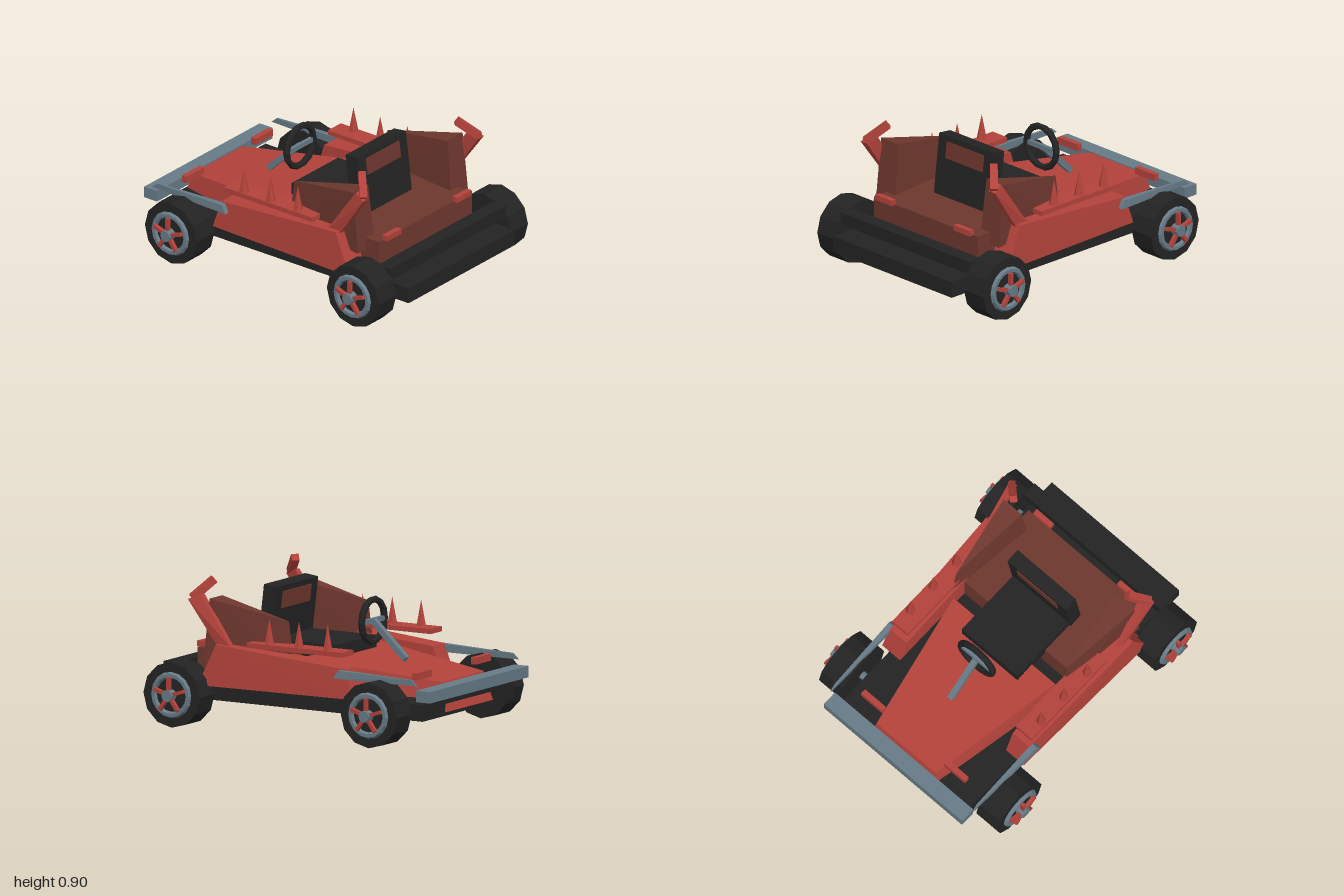
import * as THREE from 'three';
import { ConvexGeometry } from 'three/addons/geometries/ConvexGeometry.js';

const paint = (name, color) => {
  const m = new THREE.MeshStandardMaterial({ color, flatShading: true });
  m.name = name;
  return m;
};

export function createModel() {
  const red = paint('red', 0xb3423b);
  const brown = paint('rust brown', 0x6e372e);
  const grey = paint('steel grey', 0x667a86);
  const black = paint('black', 0x232323);

  const kart = new THREE.Group();
  kart.name = 'kart';

  const add = (name, geo, mat, parent = kart) => {
    const m = new THREE.Mesh(geo, mat);
    m.name = name;
    parent.add(m);
    return m;
  };
  // box given by its min and max on each axis
  const box = (name, mat, [x0, x1], [y0, y1], [z0, z1], parent) => {
    const m = add(name, new THREE.BoxGeometry(x1 - x0, y1 - y0, z1 - z0), mat, parent);
    m.position.set((x0 + x1) / 2, (y0 + y1) / 2, (z0 + z1) / 2);
    return m;
  };
  // faceted block around a few corners, s mirrors it in x
  const hull = (name, mat, pts, s = 1) =>
    add(name, new ConvexGeometry(pts.map(([x, y, z]) => new THREE.Vector3(s * x, y, z))), mat);
  // square bar between two points
  const bar = (name, mat, a, b, w, d) => {
    const p = new THREE.Vector3(...a), q = new THREE.Vector3(...b);
    const m = add(name, new THREE.BoxGeometry(w, d, p.distanceTo(q)), mat);
    m.position.copy(p).add(q).multiplyScalar(0.5);
    m.lookAt(q);
    return m;
  };

  // chassis and bumpers
  box('chassis', black, [-0.515, 0.515], [0.155, 0.255], [-0.92, 1]);
  box('rearBumper', black, [-0.56, 0.56], [0.29, 0.37], [0.8, 0.895]);
  box('frontBumper', grey, [-0.56, 0.56], [0.28, 0.35], [-1, -0.9]);

  // nose and rear deck
  const nose = [];
  for (const s of [1, -1]) {
    nose.push([s * 0.24, 0.355, -0.88], [s * 0.41, 0.45, 0], [s * 0.26, 0.18, -0.935], [s * 0.44, 0.25, 0.055]);
  }
  hull('nose', red, nose);
  box('rearDeck', brown, [-0.45, 0.45], [0.25, 0.455], [0.12, 0.72]);

  // seat
  box('seatCushion', black, [-0.225, 0.225], [0.41, 0.51], [-0.13, 0.36]);
  const seatBack = new THREE.Group();
  seatBack.name = 'seatBack';
  seatBack.position.set(0, 0.645, 0.36);
  seatBack.rotation.x = -0.12;
  kart.add(seatBack);
  box('backrest', black, [-0.235, 0.235], [-0.19, 0.19], [-0.046, 0.046], seatBack);
  for (const s of [1, -1]) {
    const z = s * 0.048;
    box('backrestPanel', brown, [-0.16, 0.16], [0.05, 0.155], [z - 0.004, z + 0.004], seatBack);
  }

  // steering
  bar('steeringColumn', grey, [0, 0.425, -0.48], [0, 0.64, -0.25], 0.036, 0.036);
  add('steeringWheel', new THREE.TorusGeometry(0.13, 0.021, 6, 14), black).position.set(0, 0.64, -0.245);
  box('steeringSpoke', grey, [-0.12, 0.12], [0.625, 0.655], [-0.257, -0.235]);

  // paired body parts
  for (const s of [1, -1]) {
    const side = s > 0 ? 'left' : 'right';
    const span = (a, b) => (s > 0 ? [a, b] : [-b, -a]);

    hull(side + 'SidePod', red, [
      [0.43, 0.435, -0.4], [0.565, 0.435, -0.4], [0.43, 0.255, -0.46], [0.575, 0.255, -0.46],
      [0.43, 0.51, 0.5], [0.595, 0.51, 0.5], [0.43, 0.255, 0.62], [0.61, 0.255, 0.62],
    ], s);
    hull(side + 'RearFin', brown, [
      [0.45, 0.67, 0.07], [0.44, 0.4, 0.04], [0.46, 0.4, 0.04],
      [0.385, 0.775, 0.585], [0.53, 0.775, 0.585], [0.37, 0.38, 0.625], [0.535, 0.38, 0.625],
    ], s);

    // curved horn behind the pod
    hull(side + 'HornBase', red, [
      [0.53, 0.48, 0.4], [0.56, 0.48, 0.4], [0.53, 0.48, 0.5], [0.56, 0.48, 0.5],
      [0.515, 0.8, 0.63], [0.56, 0.8, 0.63], [0.53, 0.77, 0.705], [0.585, 0.77, 0.705],
    ], s);
    bar(side + 'HornTip', red, [s * 0.56, 0.775, 0.69], [s * 0.46, 0.885, 0.595], 0.046, 0.046);

    // spiked rail
    box(side + 'SpikeRail', red, span(0.44, 0.565), [0.505, 0.535], [-0.38, 0.3]);
    for (const z of [0.16, -0.05, -0.255]) {
      add(side + 'Spike', new THREE.ConeGeometry(0.033, 0.165, 6), red).position.set(s * 0.53, 0.61, z);
    }

    // front fender blade, lights
    hull(side + 'Fender', grey, [
      [0.56, 0.38, -0.34], [0.605, 0.38, -0.34], [0.56, 0.43, -0.37], [0.6, 0.43, -0.37],
      [0.57, 0.415, -0.88], [0.582, 0.415, -0.88], [0.572, 0.38, -0.92], [0.58, 0.38, -0.92],
    ], s);
    box(side + 'NoseLight', red, span(0.25, 0.42), [0.385, 0.428], [-0.82, -0.785]);
    box(side + 'TailLight', red, span(0.27, 0.41), [0.452, 0.487], [0.715, 0.75]);

    // wheels, built along +x and turned around for the other side
    for (const z of [-0.665, 0.735]) {
      const wheel = new THREE.Group();
      wheel.name = side + (z < 0 ? 'FrontWheel' : 'RearWheel');
      wheel.position.set(0, 0.2, z);
      wheel.rotation.y = s > 0 ? 0 : Math.PI;
      kart.add(wheel);
      const disc = (name, mat, r, x0, x1, n) => {
        const g = new THREE.CylinderGeometry(r, r, x1 - x0, n).rotateZ(Math.PI / 2);
        add(name, g, mat, wheel).position.x = (x0 + x1) / 2;
      };
      disc('tyre', black, 0.2, 0.553, 0.722, 12);
      disc('axle', grey, 0.026, 0.4, 0.56, 8);
      disc('hub', grey, 0.036, 0.7, 0.78, 10);
      const rim = new THREE.TorusGeometry(0.122, 0.02, 6, 16).rotateY(Math.PI / 2);
      add('rim', rim, grey, wheel).position.x = 0.725;
      for (let i = 0; i < 5; i++) {
        const spoke = new THREE.BoxGeometry(0.025, 0.085, 0.022).translate(0, 0.068, 0);
        const m = add('spoke', spoke, red, wheel);
        m.position.x = 0.752;
        m.rotation.x = (i * Math.PI * 2) / 5;
      }
    }
  }
  return kart;
}
